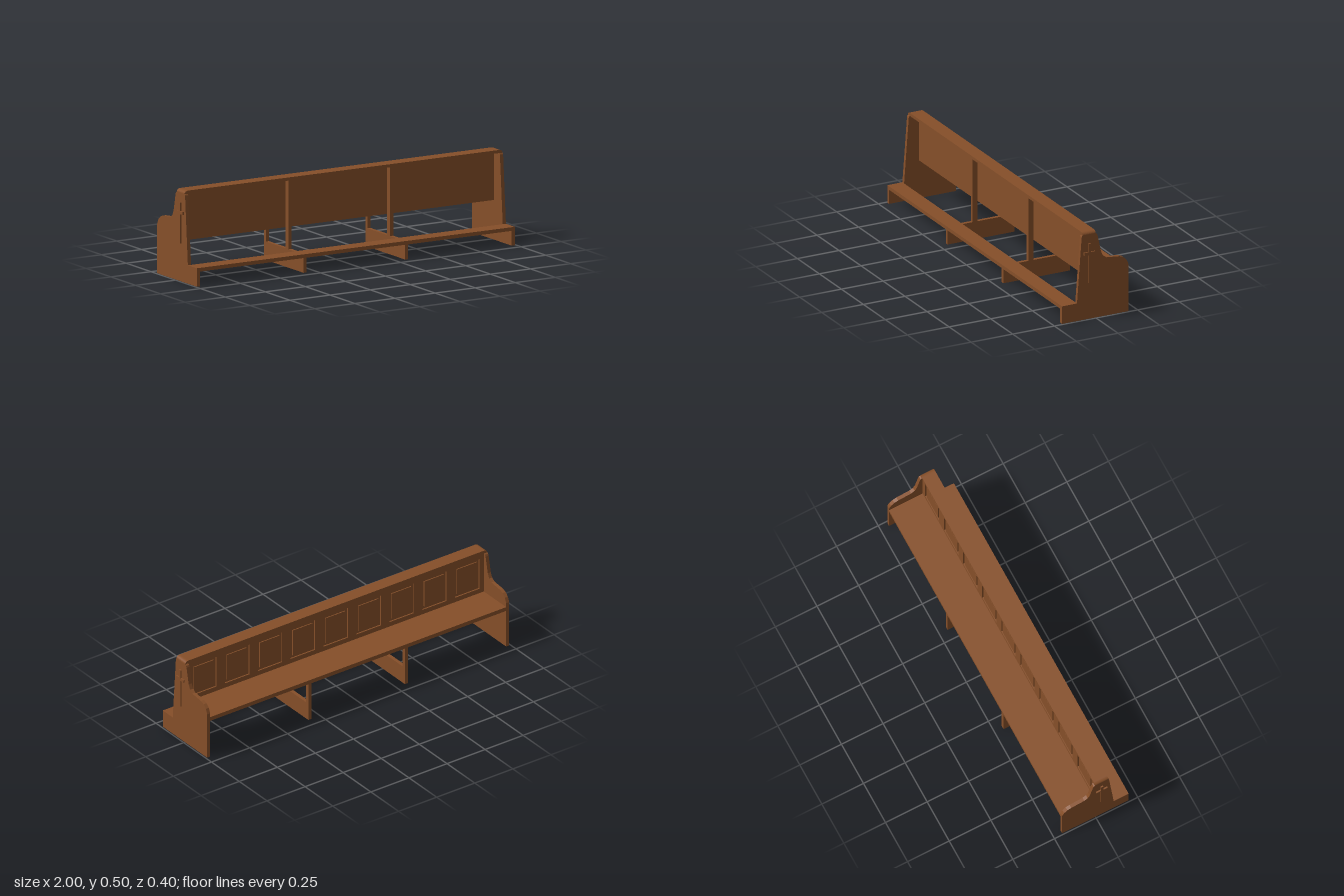
import * as THREE from 'three';

export function createModel() {
  const wood = new THREE.MeshStandardMaterial({ color: 0x864f29 });
  wood.name = 'brown wood';
  const model = new THREE.Group();
  model.name = 'pew';

  const add = (name, geometry) => {
    const mesh = new THREE.Mesh(geometry, wood);
    mesh.name = name;
    model.add(mesh);
    return mesh;
  };
  // Box given by its limits on each axis
  const box = (name, x0, x1, y0, y1, z0, z1) => {
    const mesh = add(name, new THREE.BoxGeometry(x1 - x0, y1 - y0, z1 - z0));
    mesh.position.set((x0 + x1) / 2, (y0 + y1) / 2, (z0 + z1) / 2);
  };
  const outline = (points) => new THREE.Shape(points.map(([a, b]) => new THREE.Vector2(a, b)));
  // Side outline in (z, y), extruded along x from x0
  const sidePlate = (name, points, x0, thickness) => {
    const geometry = new THREE.ExtrudeGeometry(outline(points.map(([z, y]) => [-z, y])),
      { depth: thickness, bevelEnabled: false });
    geometry.rotateY(Math.PI / 2);
    add(name, geometry).position.x = x0;
  };

  // Shaped end panels with an armrest curve
  const endProfile = [
    [0.2, 0], [0.2, 0.08], [0.112, 0.08], [0.11, 0.1], [0.082, 0.47], [0.08, 0.477], [0.075, 0.48],
    [-0.003, 0.48], [-0.01, 0.475], [-0.014, 0.465], [-0.034, 0.372], [-0.046, 0.345],
    [-0.067, 0.331], [-0.145, 0.323], [-0.168, 0.314], [-0.188, 0.295], [-0.2, 0.267], [-0.2, 0],
  ];
  // Raised cross on each end
  const cross = [
    [0.029, 0.207], [0.044, 0.207], [0.044, 0.366], [0.07, 0.366], [0.07, 0.382], [0.044, 0.382],
    [0.044, 0.43], [0.029, 0.43], [0.029, 0.382], [0.003, 0.382], [0.003, 0.366], [0.029, 0.366],
  ];
  // Inner supports: low board, back post and seat post in one piece
  const supportProfile = [
    [0.2, 0], [0.2, 0.08], [0.11, 0.08], [0.11, 0.1], [0.05, 0.1], [0.05, 0.48], [0.02, 0.48],
    [0.02, 0.1], [-0.18, 0.1], [-0.18, 0.22], [-0.2, 0.22], [-0.2, 0],
  ];
  for (const side of [-1, 1]) {
    sidePlate('endPanel', endProfile, side * 0.982 - 0.01, 0.02);
    sidePlate('endCross', cross, side * 0.996 - 0.004, 0.008);
    sidePlate('support', supportProfile, side * 0.317 - 0.01, 0.02);
  }

  // Kneeler and seat
  box('kneeler', -0.992, 0.992, 0.08, 0.1, 0.11, 0.2);
  box('seat', -0.972, 0.972, 0.22, 0.243, -0.2, 0.01);

  // Backrest: solid board with a frame of nine recesses, each holding a raised field
  box('backrest', -0.972, 0.972, 0.215, 0.48, 0.01, 0.02);
  const frame = outline([[-0.972, 0.243], [0.972, 0.243], [0.972, 0.48], [-0.972, 0.48]]);
  const pitch = 1.944 / 9;
  for (let i = 0; i < 9; i++) {
    const x = (i - 4) * pitch;
    frame.holes.push(outline([
      [x - 0.08, 0.27], [x - 0.08, 0.453], [x + 0.08, 0.453], [x + 0.08, 0.27],
    ]));
    box('raisedField', x - 0.065, x + 0.065, 0.285, 0.438, 0.004, 0.01);
  }
  add('panelFrame', new THREE.ExtrudeGeometry(frame, { depth: 0.008, bevelEnabled: false })).position.z = 0.002;

  // Top rail with rounded ends
  const rail = new THREE.Shape();
  rail.moveTo(-0.992, 0.48);
  rail.lineTo(0.992, 0.48);
  rail.absellipse(0.97, 0.48, 0.022, 0.017, 0, Math.PI / 2, false);
  rail.absellipse(-0.97, 0.48, 0.022, 0.017, Math.PI / 2, Math.PI, false);
  const railGeometry = new THREE.ExtrudeGeometry(rail, { depth: 0.079, bevelEnabled: false, curveSegments: 6 });
  add('topRail', railGeometry).position.z = -0.002;

  return model;
}
